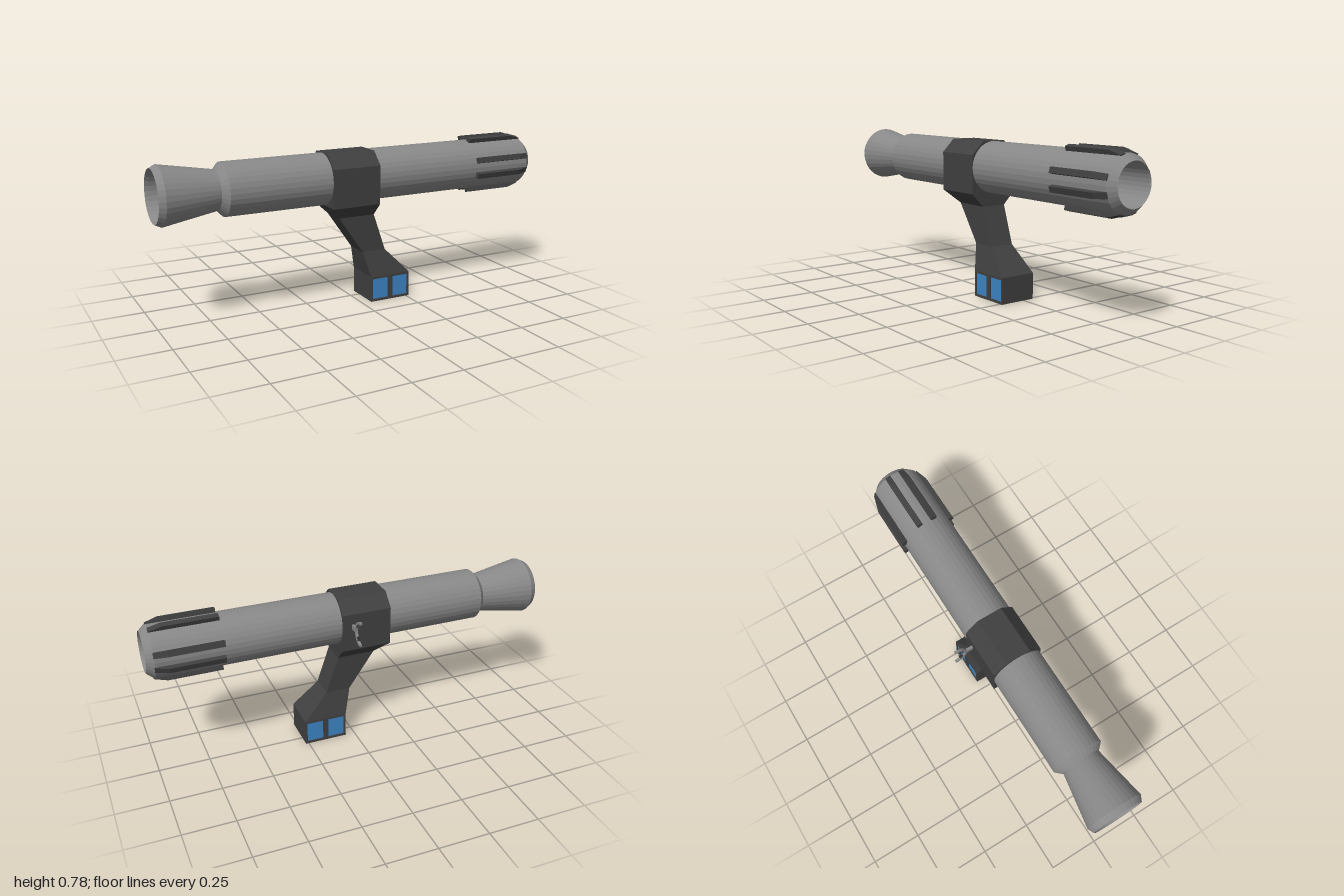
import * as THREE from 'three';

const AXIS_Y = 0.636, AXIS_Z = 0.037, R = 0.127;

const material = (color) =>
  new THREE.MeshStandardMaterial({ color, flatShading: true, side: THREE.DoubleSide });
const grey = material(0x888888), dark = material(0x404040), blue = material(0x3d85c6);

function add(parent, name, geometry, mat) {
  const mesh = new THREE.Mesh(geometry, mat);
  mesh.name = name;
  parent.add(mesh);
  return mesh;
}

const polygon = (points) => new THREE.Shape(points.map(([x, y]) => new THREE.Vector2(x, y)));

// Extrude centred on its own depth
function slab(shape, depth, curveSegments = 24) {
  return new THREE.ExtrudeGeometry(shape, { depth, bevelEnabled: false, curveSegments })
    .translate(0, 0, -depth / 2);
}

// Rectangular sections [y, xRear, xFront, halfDepth], joined from top to bottom
function loftBoxes(sections) {
  const pos = [], index = [];
  for (const [y, x0, x1, h] of sections) pos.push(x0, y, h, x1, y, h, x1, y, -h, x0, y, -h);
  for (let s = 0; s < sections.length - 1; s++) {
    for (let i = 0; i < 4; i++) {
      const a = s * 4 + i, b = s * 4 + (i + 1) % 4;
      index.push(a, a + 4, b, b, a + 4, b + 4);
    }
  }
  const e = (sections.length - 1) * 4;
  index.push(0, 1, 2, 0, 2, 3, e, e + 2, e + 1, e, e + 3, e + 2);
  const geometry = new THREE.BufferGeometry();
  geometry.setAttribute('position', new THREE.Float32BufferAttribute(pos, 3));
  geometry.setIndex(index);
  const flat = geometry.toNonIndexed();
  flat.computeVertexNormals();
  return flat;
}

export function createModel() {
  const model = new THREE.Group();
  model.name = 'shoulderLauncher';
  model.position.z = AXIS_Z;

  // Parts around the barrel axis
  const barrel = new THREE.Group();
  barrel.name = 'barrelAssembly';
  barrel.position.y = AXIS_Y;
  model.add(barrel);

  // Hollow tube with flared exhaust: outside rear to front, then inside back again
  const profile = [
    [0.125, -1], [0.14, -0.97], [0.095, -0.71], [R, -0.68], [R, 0.965], [0.098, 1],
    [0.096, 0.99], [0.096, -0.66], [0.086, -0.71], [0.12, -0.98], [0.125, -1],
  ].map(([r, x]) => new THREE.Vector2(r, x));
  add(barrel, 'tube', new THREE.LatheGeometry(profile, 32).rotateZ(-Math.PI / 2), grey);

  // Blue disc closing the bore
  add(barrel, 'boreDisc', new THREE.CircleGeometry(0.097, 32).rotateY(Math.PI / 2), blue);

  // Muzzle ribs, paired around each quarter
  const rib = slab(polygon([
    [0.645, 0.115], [0.645, 0.148], [0.905, 0.148], [0.967, 0.13], [0.967, 0.115],
  ]), 0.028);
  for (let q = 0; q < 4; q++) {
    for (const side of [-1, 1]) {
      add(barrel, 'muzzleRib', rib, dark).rotation.x = q * Math.PI / 2 + side * 0.29;
    }
  }

  // Faceted collar around the tube
  const collarShape = polygon([
    [-R, -0.126], [R, -0.126], [R, 0.064], [0.064, R], [-0.064, R], [-R, 0.064],
  ]);
  collarShape.holes.push(new THREE.Path().absarc(0, 0, 0.122, 0, Math.PI * 2, true));
  add(barrel, 'collar', slab(collarShape, 0.25).rotateY(Math.PI / 2).translate(-0.05, 0, 0), dark);

  // Sight on the back: stem, half ring and two pointers
  const sight = new THREE.Group();
  sight.name = 'sight';
  sight.position.x = 0.02;
  sight.rotation.y = Math.PI / 2;
  barrel.add(sight);
  add(sight, 'sightStem', new THREE.BoxGeometry(0.045, 0.024, 0.012).translate(0.144, 0, 0), grey);
  const arc = new THREE.Shape();
  arc.absarc(0.222, 0, 0.063, Math.PI / 2, Math.PI * 1.5, false);
  arc.absarc(0.222, 0, 0.052, Math.PI * 1.5, Math.PI / 2, true);
  add(sight, 'sightRing', slab(arc, 0.012, 16), grey);
  for (const s of [-1, 1]) {
    const pointer = polygon([[0.18, 0.028 * s], [0.196, 0.044 * s], [0.203, 0.018 * s]]);
    add(sight, 'sightPointer', slab(pointer, 0.01), dark);
  }

  // Raked grip flaring into the foot
  add(model, 'grip', loftBoxes([
    [0.51, -0.175, 0.075, R],
    [0.445, -0.115, 0.075, 0.064],
    [0.257, 0.015, 0.14, 0.063],
    [0.129, 0.048, 0.265, 0.095],
  ]), dark);

  // Foot with framed, recessed blue panels on both faces
  const foot = new THREE.Group();
  foot.name = 'foot';
  foot.position.set(0.1565, 0.0645, 0);
  model.add(foot);
  const W = 0.1085, H = 0.0645;
  add(foot, 'footCore', new THREE.BoxGeometry(W * 2, H * 2, 0.174), dark);
  const frame = polygon([[-W, -H], [W, -H], [W, H], [-W, H]]);
  for (const s of [-1, 1]) {
    const a = s * 0.056 - 0.043, b = s * 0.056 + 0.043;
    frame.holes.push(polygon([[a, -0.053], [a, 0.053], [b, 0.053], [b, -0.053]]));
  }
  const frameGeometry = slab(frame, 0.008);
  for (const face of [-1, 1]) {
    add(foot, 'panelFrame', frameGeometry, dark).position.z = face * 0.091;
    for (const s of [-1, 1]) {
      add(foot, 'bluePanel', new THREE.BoxGeometry(0.086, 0.106, 0.004), blue)
        .position.set(s * 0.056, 0, face * 0.087);
    }
  }

  return model;
}
